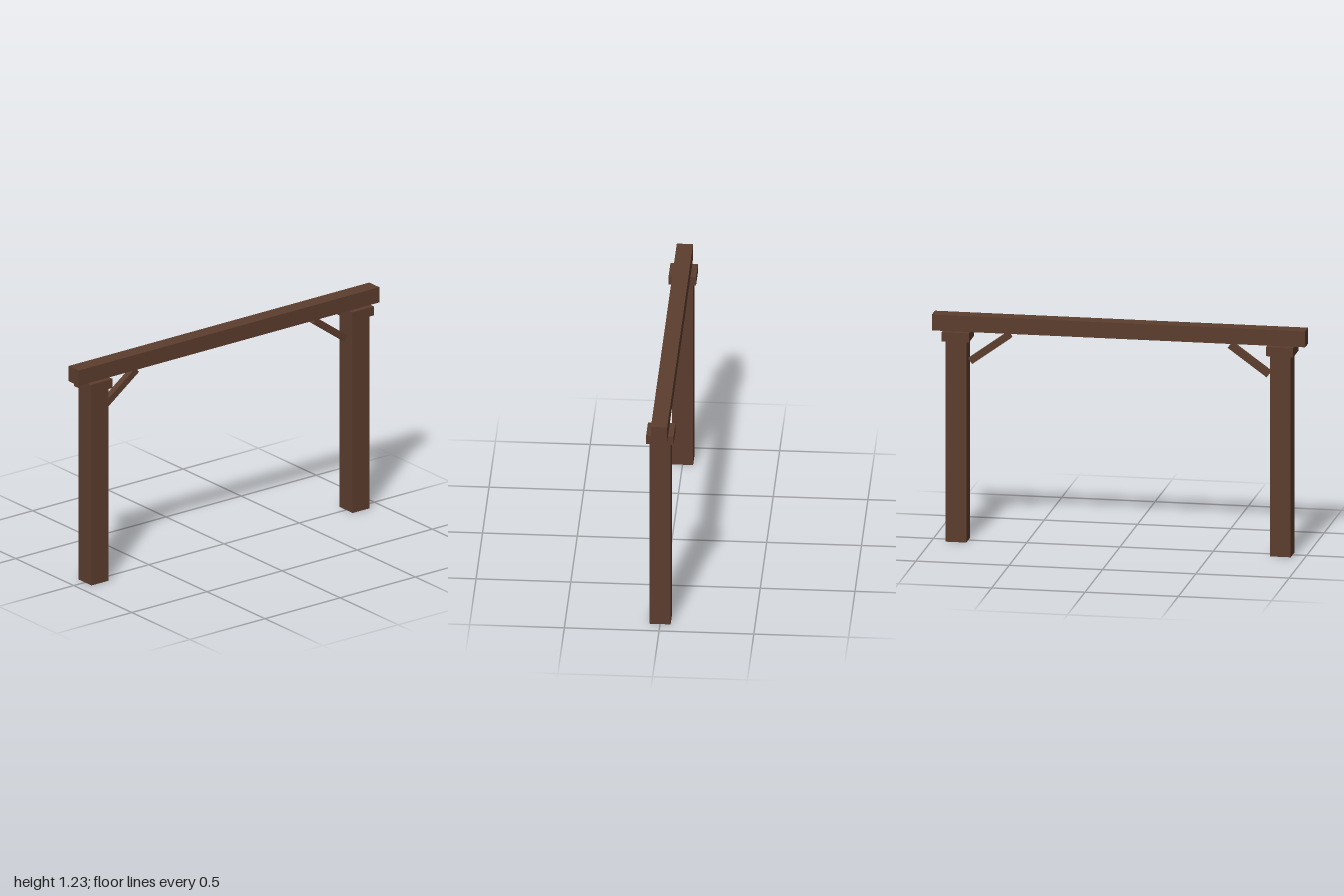
import * as THREE from 'three';

export function createModel() {
  const model = new THREE.Group();
  model.name = 'timberGateway';

  const wood = new THREE.MeshStandardMaterial({ color: 0x5c3d2e });
  wood.name = 'dark brown wood';

  const timber = (name, w, h, d, x, y) => {
    const mesh = new THREE.Mesh(new THREE.BoxGeometry(w, h, d), wood);
    mesh.name = name;
    mesh.position.set(x, y, 0);
    model.add(mesh);
    return mesh;
  };

  // Lintel across the top
  timber('topBeam', 2, 0.086, 0.086, 0, 1.183);

  // Post, cap block and diagonal brace on each side
  for (const [side, s] of [['left', 1], ['right', -1]]) {
    timber(side + 'Post', 0.112, 1.09, 0.112, s * 0.869, 0.545);
    timber(side + 'PostCap', 0.145, 0.05, 0.145, s * 0.869, 1.115);
    const brace = timber(side + 'Brace', 0.258, 0.036, 0.036, s * 0.695, 1.051);
    brace.rotation.z = -s * 0.625;
  }

  return model;
}
